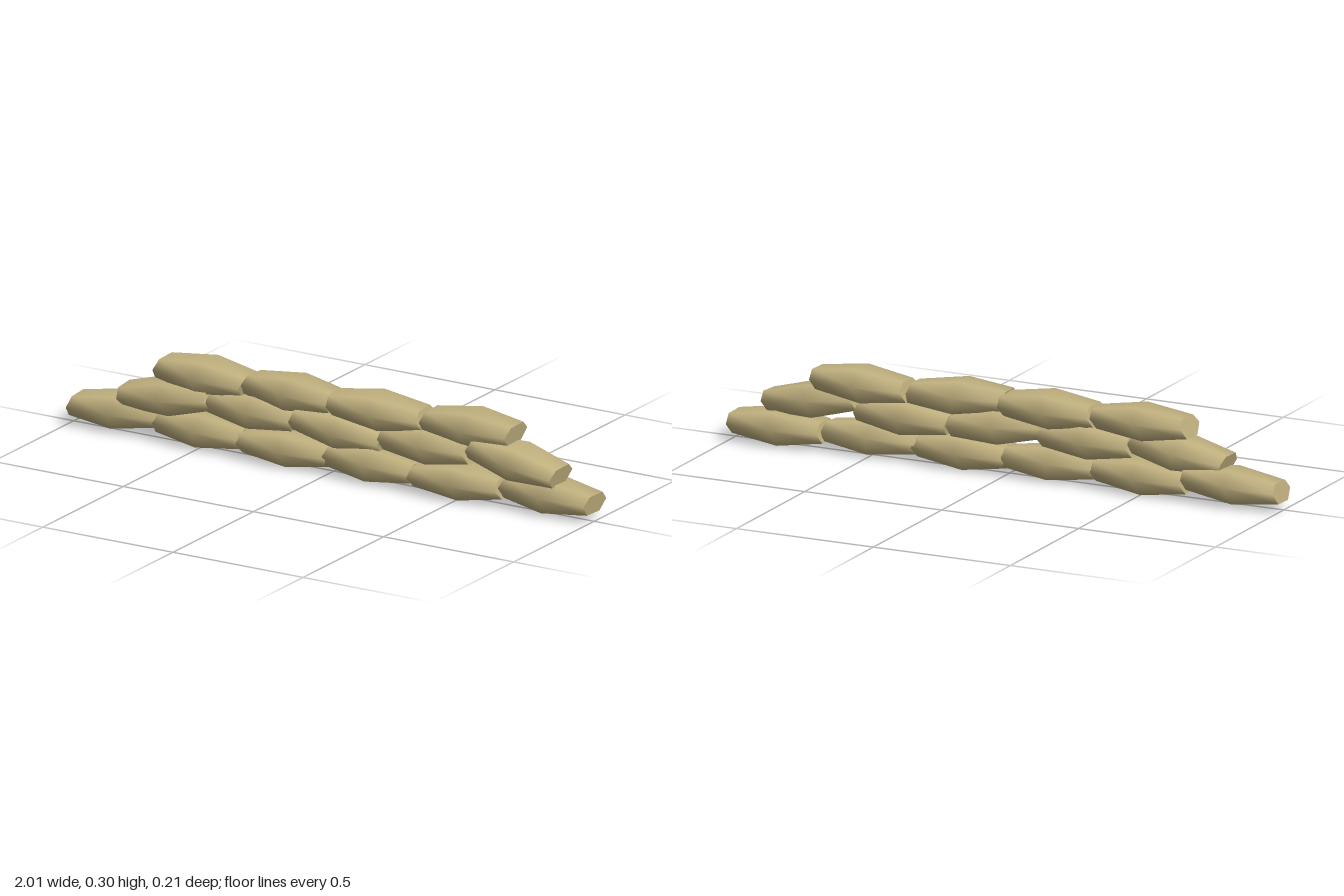
import * as THREE from 'three';
import { mergeGeometries } from 'three/addons/utils/BufferGeometryUtils.js';

const HALF = 0.17; // half length of one bag
// Hexagonal cross-section (z, y): flat top and bottom, ridge at the sides
const HEX = [[0.05, 0.055], [0.09, 0.006], [0.05, -0.055], [-0.05, -0.055], [-0.09, 0.006], [-0.05, 0.055]];
const END = { z: 0.76, y: 0.6 }; // taper of the bag ends

// Position of a corner; the ends lean a little, as in a slumped bag
function corner(section, i, lean) {
  const t = section - 1;
  const k = ((i % 6) + 6) % 6;
  const y = HEX[k][1] * (t ? END.y : 1);
  const z = HEX[k][0] * (t ? END.z : 1);
  return [t * (HALF - 0.003) + y * lean, y, z];
}

function build(points, index) {
  const g = new THREE.BufferGeometry();
  g.setAttribute('position', new THREE.Float32BufferAttribute(points.flat(), 3));
  g.setIndex(index);
  g.computeVertexNormals();
  return g;
}

function bagGeometry(lean) {
  // Smooth body through three sections
  const points = [], index = [];
  for (let s = 0; s < 3; s++) for (let i = 0; i < 6; i++) points.push(corner(s, i, lean));
  for (let s = 0; s < 2; s++) {
    for (let i = 0; i < 6; i++) {
      const a = s * 6 + i, b = s * 6 + (i + 1) % 6;
      index.push(a, b, b + 6, a, b + 6, a + 6);
    }
  }
  const parts = [build(points, index)];
  // Flat end caps with their own normals
  for (const s of [0, 2]) {
    const ring = HEX.map((_, i) => corner(s, i, lean));
    const fan = [];
    for (let i = 1; i < 5; i++) fan.push(...(s === 0 ? [0, i + 1, i] : [0, i, i + 1]));
    parts.push(build(ring, fan));
  }
  return mergeGeometries(parts);
}

// Each bag: x, y, z, tilt, yaw, roll, lean
const ROWS = {
  bottomRow: [
    [-0.83, 0.067, -0.014, 0.03, 0.03, 0.05, 0.22],
    [-0.495, 0.058, -0.005, 0, -0.04, -0.06, 0.15],
    [-0.165, 0.058, 0.004, 0.01, 0.03, 0.08, -0.15],
    [0.165, 0.058, 0.008, -0.01, -0.03, -0.08, 0.15],
    [0.495, 0.06, 0.01, 0.02, 0.04, 0.1, -0.15],
    [0.83, 0.06, -0.012, -0.02, -0.02, -0.03, 0.15],
  ],
  middleRow: [
    [-0.63, 0.15, -0.004, 0.12, 0.03, 0.06, -0.2],
    [-0.3, 0.155, -0.01, -0.02, -0.04, -0.06, 0.15],
    [0.035, 0.155, 0.003, -0.09, 0.03, 0.08, 0.1],
    [0.37, 0.152, -0.005, 0.02, -0.03, -0.08, -0.15],
    [0.715, 0.16, 0.01, -0.13, -0.04, 0.05, 0.12],
  ],
  topRow: [
    [-0.5, 0.241, -0.016, -0.02, -0.02, 0.04, 0.25],
    [-0.16, 0.241, -0.014, -0.02, -0.04, -0.04, 0.2],
    [0.18, 0.241, 0, -0.02, 0.07, 0.05, -0.2],
    [0.525, 0.241, -0.014, 0.01, -0.02, 0.03, 0.2],
  ],
};

export function createModel() {
  const model = new THREE.Group();
  model.name = 'sandbagWall';
  const cloth = new THREE.MeshStandardMaterial({ color: 0xc2b280 });
  for (const [name, bags] of Object.entries(ROWS)) {
    const row = new THREE.Group();
    row.name = name;
    for (const [x, y, z, tilt, yaw, roll, lean] of bags) {
      const bag = new THREE.Mesh(bagGeometry(lean), cloth);
      bag.name = 'sandbag';
      bag.position.set(x, y, z);
      bag.rotation.set(roll, yaw, tilt);
      row.add(bag);
    }
    model.add(row);
  }
  return model;
}
